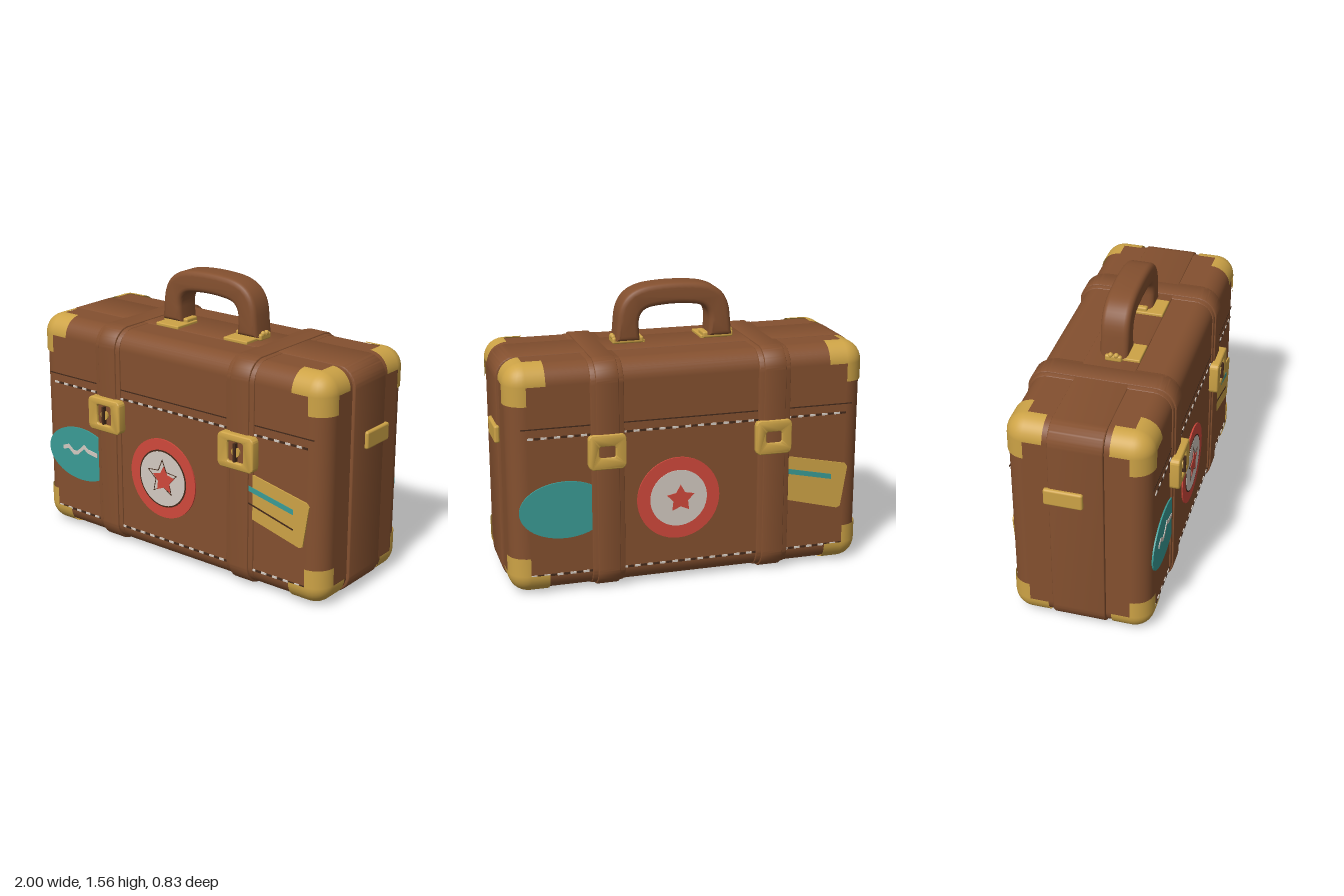
import * as THREE from 'three';
import { mergeGeometries, toCreasedNormals } from 'three/addons/utils/BufferGeometryUtils.js';
import { RoundedBoxGeometry } from 'three/addons/geometries/RoundedBoxGeometry.js';

const material = (name, color, side = THREE.FrontSide) => {
  const m = new THREE.MeshStandardMaterial({ color, side });
  m.name = name;
  return m;
};
const leather = material('brown leather', 0x84502f);
const brass = material('brass', 0xcda346, THREE.DoubleSide);
const teal = material('teal', 0x3a9b95);
const red = material('red', 0xd0483b);
const cream = material('cream', 0xd3cac1);
const dark = material('dark brown', 0x442a1b);

function add(parent, name, geometry, mat, x = 0, y = 0, z = 0) {
  const mesh = new THREE.Mesh(geometry, mat);
  mesh.name = name;
  mesh.position.set(x, y, z);
  parent.add(mesh);
  return mesh;
}

const polygon = (pts) => new THREE.Shape(pts.map(([x, y]) => new THREE.Vector2(x, y)));
const plate = (shape, depth) =>
  new THREE.ExtrudeGeometry(shape, { depth, bevelEnabled: false, curveSegments: 24 });

function roundedRect(w, h, r, Type = THREE.Shape) {
  const s = new Type();
  const x = w / 2, y = h / 2, q = Math.PI / 2;
  s.absarc(x - r, y - r, r, 0, q);
  s.absarc(-x + r, y - r, r, q, 2 * q);
  s.absarc(-x + r, -y + r, r, 2 * q, 3 * q);
  s.absarc(x - r, -y + r, r, 3 * q, 4 * q);
  s.closePath();
  return s;
}

function star(outer, inner) {
  const pts = [];
  for (let i = 0; i < 10; i++) {
    const a = Math.PI / 2 + (i * Math.PI) / 5, r = i % 2 ? inner : outer;
    pts.push([r * Math.cos(a), r * Math.sin(a)]);
  }
  return polygon(pts);
}

// Extruded piece with softly bevelled edges, centred in depth
function softExtrude(shape, depth, bevel) {
  const g = new THREE.ExtrudeGeometry(shape, {
    depth: depth - 2 * bevel, bevelThickness: bevel, bevelSize: bevel,
    bevelOffset: -bevel, bevelSegments: 4, curveSegments: 12,
  });
  g.translate(0, 0, bevel - depth / 2);
  return toCreasedNormals(g, 0.7);
}

// Rounded box whose grid lines sit at chosen distances from each edge.
// With cornersOnly, only three-armed caps around the eight corners remain.
function caseShell(half, r, grow, cornersOnly) {
  const steps = [0, 0.012, 0.03, 0.055, 0.08, 0.1, 0.2];
  const n = steps.length * 2 - 1;
  const g = new THREE.BoxGeometry(2, 2, 2, n, n, n);
  const p = g.attributes.position, nor = g.attributes.normal, raw = [];
  for (let i = 0; i < p.count; i++) {
    const v = [p.getX(i), p.getY(i), p.getZ(i)].map((c, k) => {
      const j = Math.round(((c + 1) / 2) * n);
      return j < steps.length ? steps[j] - half[k] : half[k] - steps[n - j];
    });
    const box = new THREE.Vector3(...v);
    raw.push(box);
    const inner = new THREE.Vector3(...v.map((c, k) =>
      THREE.MathUtils.clamp(c, r - half[k], half[k] - r)));
    const dir = box.clone().sub(inner).normalize();
    nor.setXYZ(i, dir.x, dir.y, dir.z);
    inner.addScaledVector(dir, r + grow);
    p.setXYZ(i, inner.x, inner.y, inner.z);
  }
  if (cornersOnly) {
    const kept = [], idx = g.index.array;
    for (let t = 0; t < idx.length; t += 3) {
      const tri = [idx[t], idx[t + 1], idx[t + 2]];
      const mid = new THREE.Vector3();
      tri.forEach((i) => mid.addScaledVector(raw[i], 1 / 3));
      const gaps = mid.toArray().map((c, k) => half[k] - Math.abs(c));
      if (gaps.every((d) => d < 0.2) && gaps.filter((d) => d < 0.1).length > 1) kept.push(...tri);
    }
    g.setIndex(kept);
    g.clearGroups();
  }
  return g;
}

// Flat ribbon along a list of points
function ribbon(pts, w) {
  const up = pts.map(([x, y]) => [x, y + w / 2]);
  const down = pts.map(([x, y]) => [x, y - w / 2]).reverse();
  return polygon([...down.reverse(), ...up.reverse()]);
}

// Stickers, stitching and lid seam for one large face
function facePanel(front) {
  const g = new THREE.Group();
  g.name = front ? 'frontStickers' : 'backStickers';
  const oval = new THREE.Shape().absellipse(-0.68, 0.465, 0.24, 0.155, 0, Math.PI * 2);
  add(g, 'ovalSticker', plate(oval, 0.008), teal);
  add(g, 'tagSticker', plate(polygon([[0.5, 0.405], [0.83, 0.32], [0.85, 0.33], [0.885, 0.555],
    [0.87, 0.573], [0.5, 0.65]]), 0.008), brass);
  add(g, 'tagStripe', plate(ribbon([[0.5, 0.567], [0.79, 0.505]], 0.028), 0.003), teal, 0, 0, 0.008);
  if (front) {
    add(g, 'ovalSquiggle', plate(ribbon([[-0.81, 0.48], [-0.77, 0.495], [-0.73, 0.465], [-0.7, 0.47],
      [-0.65, 0.515], [-0.62, 0.495], [-0.55, 0.485]], 0.025), 0.003), cream, 0, 0, 0.008);
    add(g, 'tagLine', plate(ribbon([[0.5, 0.485], [0.79, 0.41]], 0.008), 0.003), dark, 0, 0, 0.008);
  }

  const disc = (r) => new THREE.Shape().absarc(0, 0, r, 0, Math.PI * 2);
  add(g, 'badgeRing', plate(disc(0.225), 0.008), red, -0.07, 0.47, 0);
  add(g, 'badgeCentre', plate(disc(0.155), 0.003), cream, -0.07, 0.47, 0.008);
  add(g, 'badgeStar', plate(star(0.078, 0.042), 0.003), red, -0.06, 0.465, 0.011);
  if (front) {
    const outline = star(0.108, 0.05);
    outline.holes.push(new THREE.Path(star(0.1, 0.045).getPoints()));
    add(g, 'badgeStarOutline', plate(outline, 0.002), dark, -0.07, 0.475, 0.011);
    const rim = disc(0.163);
    rim.holes.push(new THREE.Path().absarc(0, 0, 0.155, 0, Math.PI * 2));
    add(g, 'badgeRim', plate(rim, 0.002), dark, -0.07, 0.47, 0.008);
  }

  for (const y of [0.11, 0.86]) {
    const dashes = [[], []];
    for (let i = 0; i < 50; i++) {
      const d = new THREE.BoxGeometry(0.03, 0.011, 0.006);
      dashes[i % 2].push(d.translate(-0.85 + i * 0.0347, y, 0.002));
    }
    add(g, 'stitches', mergeGeometries(dashes[0]), cream);
    add(g, 'stitchHoles', mergeGeometries(dashes[1]), dark);
  }
  add(g, 'lidSeam', new THREE.BoxGeometry(1.8, 0.006, 0.004), dark, 0, 0.91, 0);
  return g;
}

function latch(w, h, depth, holeW, holeH) {
  const s = roundedRect(w, h, 0.03);
  s.holes.push(roundedRect(holeW, holeH, 0.012, THREE.Path));
  return softExtrude(s, depth, 0.008);
}

export function createModel() {
  const model = new THREE.Group();
  model.name = 'suitcase';
  const midY = 0.622, midZ = -0.02, half = [0.965, 0.61, 0.37];

  // Case, perimeter band and corner caps
  add(model, 'caseBody', caseShell(half, 0.1, 0, false), leather, 0, midY, midZ);
  add(model, 'cornerCaps', caseShell(half, 0.1, 0.008, true), brass, 0, midY, midZ);
  add(model, 'perimeterBand', softExtrude(roundedRect(1.965, 1.232, 0.11), 0.285, 0.01),
    leather, 0, midY, -0.022);

  // Two straps, each a wide base with a raised middle
  for (const x of [-0.455, 0.45]) {
    for (const [name, w, grow] of [['strapBase', 0.175, 0.01], ['strapMiddle', 0.12, 0.018]]) {
      const shape = roundedRect(0.745 + 2 * grow, 1.208 + 2 * grow, 0.115);
      add(model, name, softExtrude(shape, w, 0.006), leather, x, midY, -0.024).rotation.y = Math.PI / 2;
    }
    // Front latch with recessed plate and keyhole
    add(model, 'frontLatch', latch(0.228, 0.19, 0.055, 0.1, 0.11), brass, x, 0.757, 0.373);
    add(model, 'latchInset', new THREE.BoxGeometry(0.11, 0.12, 0.03), leather, x, 0.757, 0.37);
    add(model, 'latchKnob', new THREE.CylinderGeometry(0.026, 0.026, 0.012, 16), brass, x, 0.757, 0.39)
      .rotation.x = Math.PI / 2;
    add(model, 'latchPin', new THREE.BoxGeometry(0.014, 0.1, 0.022), dark, x, 0.757, 0.397);
    // Back buckle
    add(model, 'backBuckle', latch(0.2, 0.19, 0.04, 0.085, 0.06), brass, -x, 0.765, -0.402);
    add(model, 'buckleInset', new THREE.BoxGeometry(0.09, 0.065, 0.02), leather, -x, 0.765, -0.402);
  }

  // Decorated front and back
  const front = facePanel(true), back = facePanel(false);
  front.position.z = 0.35;
  back.position.z = -0.39;
  back.rotation.y = Math.PI;
  model.add(front, back);

  // Carrying handle
  const u = new THREE.Shape();
  u.moveTo(-0.32, 1.255);
  u.lineTo(-0.31, 1.37);
  u.bezierCurveTo(-0.3, 1.5, -0.22, 1.54, -0.12, 1.55);
  u.quadraticCurveTo(0, 1.562, 0.12, 1.55);
  u.bezierCurveTo(0.22, 1.54, 0.3, 1.5, 0.31, 1.37);
  u.lineTo(0.32, 1.255);
  u.lineTo(0.19, 1.255);
  u.lineTo(0.195, 1.34);
  u.bezierCurveTo(0.195, 1.41, 0.16, 1.43, 0.1, 1.435);
  u.quadraticCurveTo(0, 1.447, -0.1, 1.435);
  u.bezierCurveTo(-0.16, 1.43, -0.195, 1.41, -0.195, 1.34);
  u.lineTo(-0.19, 1.255);
  u.closePath();
  add(model, 'handle', softExtrude(u, 0.152, 0.028), leather, 0, 0, -0.016);

  for (const s of [-1, 1]) {
    // Handle mounts and hinge pins
    add(model, 'handlePlate', new RoundedBoxGeometry(0.155, 0.02, 0.17, 2, 0.006), brass, s * 0.232, 1.242, 0.035);
    add(model, 'handleMount', new RoundedBoxGeometry(0.17, 0.035, 0.09, 2, 0.01), brass, s * 0.25, 1.255, -0.015);
    for (const z of [-0.03, 0]) {
      add(model, 'hingePin', new THREE.SphereGeometry(0.014, 12, 8), brass, s * 0.325, 1.272, z);
    }
    // Side tab
    add(model, 'sideTab', new RoundedBoxGeometry(0.03, 0.095, 0.205, 3, 0.012), brass, s * 0.985, 0.834, -0.085);
  }
  return model;
}
